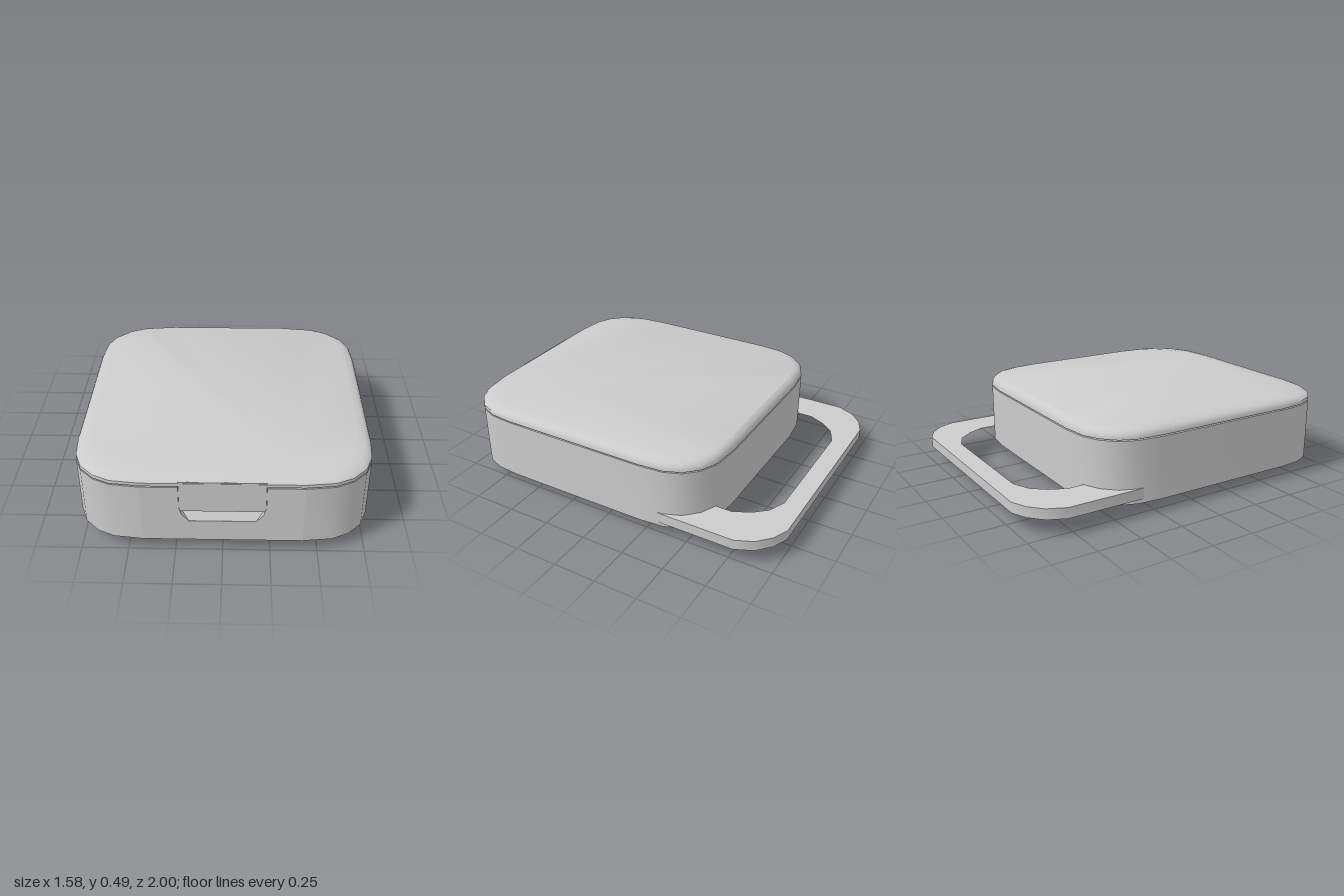
import * as THREE from 'three';
import { toCreasedNormals } from 'three/addons/utils/BufferGeometryUtils.js';

const grey = new THREE.MeshStandardMaterial({ color: 0xcccccc });

function part(name, geometry) {
  const mesh = new THREE.Mesh(toCreasedNormals(geometry, 0.55), grey);
  mesh.name = name;
  return mesh;
}

const shapeOf = (points) => new THREE.Shape(points.map(([x, y]) => new THREE.Vector2(x, y)));

// Mirror a half profile (right side, listed top to bottom) into a closed outline
const mirrored = (half) => [...half, ...half.map(([x, y]) => [-x, y]).reverse()];

const extrude = (shape, depth) => new THREE.ExtrudeGeometry(shape, { depth, bevelEnabled: false });

// Plan outlines are given as [x, z] and extruded upwards from y0 to y1
function slab(points, y0, y1, hole) {
  const flip = (list) => list.map(([x, z]) => [x, -z]);
  const shape = shapeOf(flip(points));
  if (hole) shape.holes.push(shapeOf(flip(hole)));
  return extrude(shape, y1 - y0).rotateX(-Math.PI / 2).translate(0, y0, 0);
}

// Soft corner, as distances in from the two sides that meet there
const CORNER = [[0, 0.37], [0.012, 0.23], [0.05, 0.135], [0.125, 0.06], [0.215, 0.018], [0.37, 0]];

// Rounded plan outline, running front right, back right, back left, front left
function roundedOutline(w, z0, z1) {
  const right = [
    ...CORNER.map(([a, b]) => [w - a, z1 - b]).reverse(),
    ...CORNER.map(([a, b]) => [w - a, z0 + b]),
  ];
  return mirrored(right);
}

// Closed convex solid through rings listed from bottom to top
function loft(rings) {
  const n = rings[0].length;
  const index = [];
  for (let r = 0; r < rings.length - 1; r++) {
    for (let i = 0; i < n; i++) {
      const a = r * n + i, b = r * n + (i + 1) % n;
      index.push(a, b, b + n, a, b + n, a + n);
    }
  }
  const top = (rings.length - 1) * n;
  for (let i = 1; i < n - 1; i++) {
    index.push(0, i + 1, i, top, top + i, top + i + 1);
  }
  const geometry = new THREE.BufferGeometry();
  geometry.setAttribute('position', new THREE.Float32BufferAttribute(rings.flat(2), 3));
  geometry.setIndex(index);
  return geometry;
}

export function createModel() {
  const model = new THREE.Group();
  const bottom = 0.07, rim = 0.422, inner = 0.94;

  // Case body, with the flat middle of the front left out for the notched panel
  const outline = roundedOutline(0.79, -0.6, 1);
  outline.push([-0.42, inner], [0.42, inner]);
  model.add(part('caseBody', slab(outline, bottom, rim)));

  // Front panel with the latch notch
  const notch = [[0.225, rim], [0.225, 0.29], [0.212, 0.245], [0.175, 0.2]];
  const panel = shapeOf([
    ...mirrored(notch),
    [-0.42, rim], [-0.42, bottom], [0.42, bottom], [0.42, rim],
  ]);
  model.add(part('frontPanel', extrude(panel, 1 - inner).translate(0, 0, inner)));

  // Sloped finger rest under the latch
  const rest = shapeOf([[0.999, 0.2], [0.95, 0.27], [inner, 0.27], [inner, 0.2]]);
  model.add(part('fingerRest', extrude(rest, 0.44).rotateY(-Math.PI / 2).translate(0.22, 0, 0)));

  // Latch tab hanging from the lid
  const tab = shapeOf(mirrored([[0.224, 0.455], [0.224, 0.29], [0.217, 0.266]]));
  model.add(part('latchTab', extrude(tab, 0.059).translate(0, 0, inner)));

  // Lid with rounded edge, sloping more gently at the front: [y, half width, back z, front z]
  const lidLevels = [
    [0.429, 0.79, -0.6, 1],
    [0.448, 0.788, -0.598, 1],
    [0.462, 0.78, -0.592, 0.985],
    [0.475, 0.762, -0.583, 0.93],
    [0.487, 0.72, -0.565, 0.85],
  ];
  model.add(part('lid', loft(lidLevels.map(([y, w, z0, z1]) =>
    roundedOutline(w, z0, z1).map(([x, z]) => [x, y, z])))));

  // Carrying loop at the back
  const loop = mirrored([[0.575, -1], [0.665, -0.96], [0.74, -0.89], [0.785, -0.79], [0.785, -0.34]]);
  const opening = mirrored([[0.365, -0.89], [0.465, -0.845], [0.53, -0.77], [0.575, -0.675], [0.575, -0.5]]);
  model.add(part('carryLoop', slab(loop, 0.095, 0.155, opening)));

  // Pillow-shaped foot under the back: [y, half width, back z, front z]
  const footLevels = [
    [0, 0.4, -0.37, -0.13],
    [0.007, 0.475, -0.41, -0.09],
    [0.022, 0.52, -0.445, -0.055],
    [0.075, 0.57, -0.475, -0.02],
  ];
  model.add(part('foot', loft(footLevels.map(([y, w, z0, z1]) =>
    [[w, y, z1], [w, y, z0], [-w, y, z0], [-w, y, z1]]))));

  return model;
}
